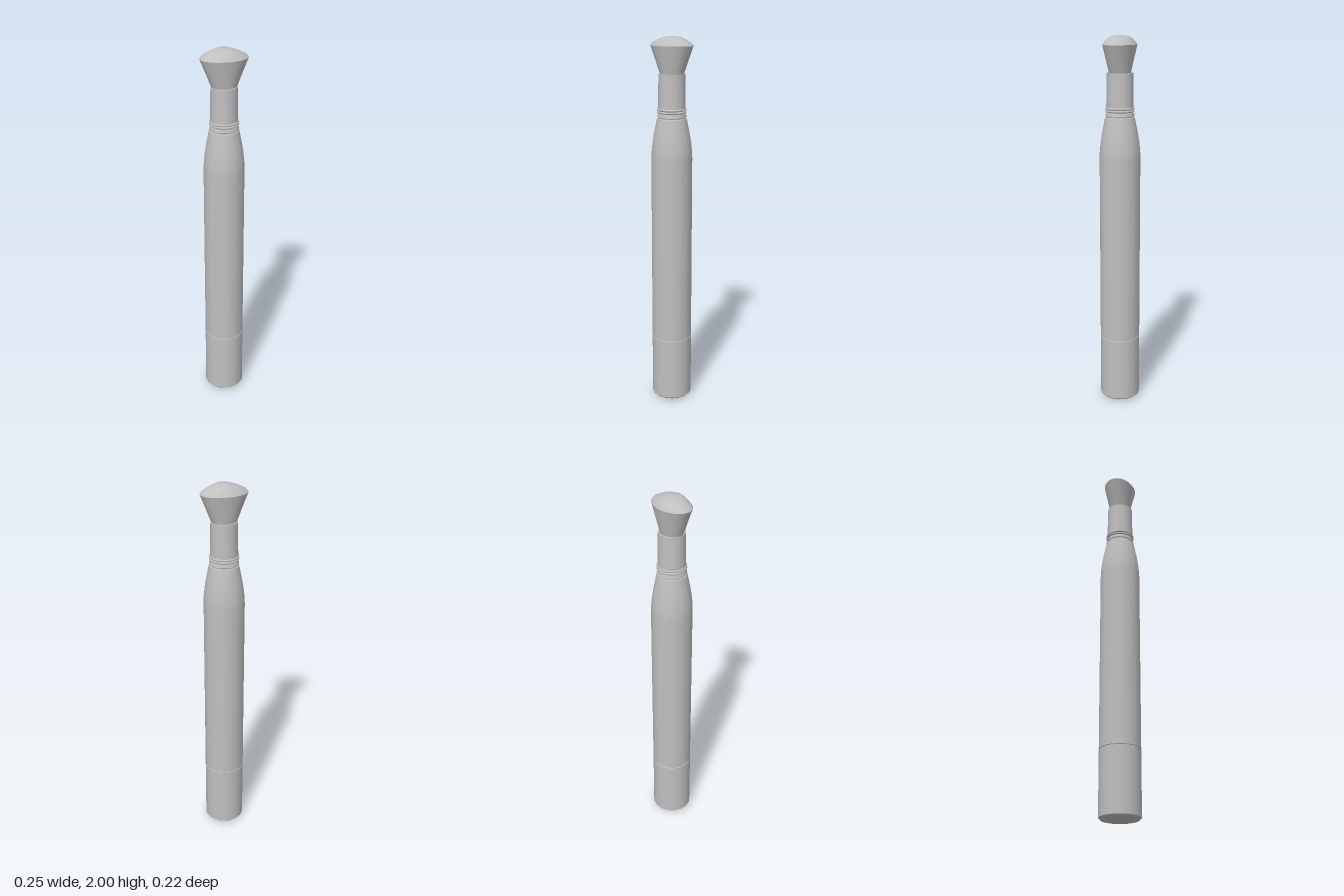
import * as THREE from 'three';
import { mergeVertices } from 'three/addons/utils/BufferGeometryUtils.js';

export function createModel() {
  const model = new THREE.Group();
  const grey = new THREE.MeshStandardMaterial({ color: 0xc0c0c0, side: THREE.DoubleSide });

  const add = (name, geometry) => {
    const mesh = new THREE.Mesh(geometry, grey);
    mesh.name = name;
    model.add(mesh);
    return mesh;
  };
  // Turned part: profile of [radius, y] from bottom to top
  const turned = (name, profile, sides = 16) =>
    add(name, new THREE.LatheGeometry(profile.map(([r, y]) => new THREE.Vector2(r, y)), sides));

  // Oval part: sections of [y, half width, half depth] from bottom to top
  const oval = (name, sections) => {
    let g = new THREE.LatheGeometry(sections.map(([y, rx]) => new THREE.Vector2(rx, y)), 24);
    const p = g.attributes.position;
    for (let i = 0; i < p.count; i++) {
      const [, rx, rz] = sections[i % sections.length];
      p.setZ(i, p.getZ(i) * rz / rx);
    }
    g.deleteAttribute('uv');
    g.deleteAttribute('normal');
    g = mergeVertices(g, 1e-5);
    g.computeVertexNormals();
    add(name, g).rotation.y = 0.1;
  };

  // Handle: slightly domed foot, lower grip, seam, long barrel and tapered shoulder
  turned('foot', [[0, 0], [0.06, 0.003], [0.1, 0.012], [0.108, 0.02]]);
  turned('lowerGrip', [[0.108, 0.02], [0.108, 0.362]]);
  turned('seam', [[0.108, 0.362], [0.105, 0.363], [0.105, 0.367], [0.108, 0.368]]);
  turned('barrel', [[0.108, 0.368], [0.108, 1.37], [0.107, 1.4], [0.102, 1.45],
    [0.094, 1.5], [0.085, 1.545], [0.078, 1.58]]);

  // Collar with groove and ring
  turned('collarGroove', [[0.078, 1.58], [0.073, 1.582], [0.073, 1.587], [0.077, 1.589]]);
  turned('collar', [[0.077, 1.589], [0.073, 1.606]]);
  turned('collarTop', [[0.073, 1.606], [0.06, 1.606]]);
  turned('ringGap', [[0.068, 1.604], [0.068, 1.616]]);
  for (const y of [1.615, 1.628]) {
    const ring = add('ring', new THREE.TorusGeometry(0.071, 0.006, 8, 24));
    ring.rotation.x = Math.PI / 2;
    ring.position.y = y;
  }

  // Neck sleeve
  turned('neck', [[0.072, 1.625], [0.069, 1.81]]);
  turned('neckRim', [[0.069, 1.81], [0.06, 1.81]]);
  turned('neckTop', [[0.06, 1.81], [0.059, 1.803], [0.0001, 1.803]]);

  // Flared oval bristles with a domed crown
  oval('bristles', [[1.8, 0.062, 0.054], [1.87, 0.09, 0.068], [1.952, 0.124, 0.085]]);
  oval('crown', [[1.952, 0.124, 0.085], [1.966, 0.112, 0.075], [1.984, 0.076, 0.061],
    [1.995, 0.04, 0.046], [2, 0.0005, 0.0005]]);

  return model;
}
